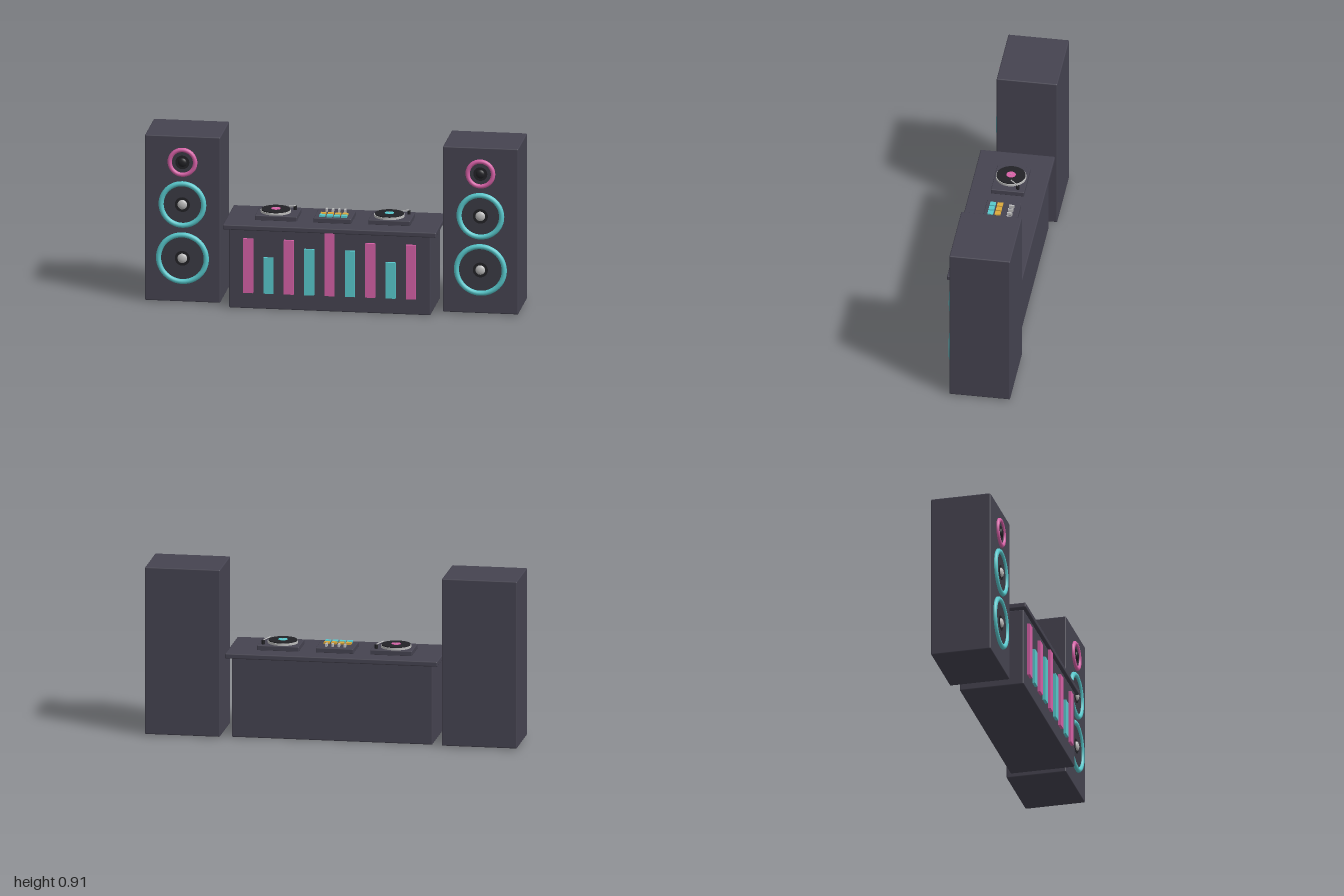
import * as THREE from 'three';
import { RoundedBoxGeometry } from 'three/addons/geometries/RoundedBoxGeometry.js';

const mat = (name, color) => {
  const m = new THREE.MeshStandardMaterial({ color });
  m.name = name;
  return m;
};

export function createModel() {
  const body = mat('charcoal', 0x454350);
  const cone = mat('cone grey', 0x3b3a44);
  const black = mat('black', 0x222226);
  const pink = mat('pink', 0xd660a6);
  const cyan = mat('cyan', 0x58c9cd);
  const amber = mat('amber', 0xdba93c);
  const silver = mat('silver', 0xbcbcbc);

  const model = new THREE.Group();
  model.name = 'djBooth';

  const add = (parent, name, geo, material, x, y, z) => {
    const mesh = new THREE.Mesh(geo, material);
    mesh.name = name;
    mesh.position.set(x, y, z);
    parent.add(mesh);
    return mesh;
  };
  // Softly rounded box given by its limits
  const block = (parent, name, material, x0, x1, y0, y1, z0, z1, r = 0.006) =>
    add(parent, name, new RoundedBoxGeometry(x1 - x0, y1 - y0, z1 - z0, 2, r), material,
      (x0 + x1) / 2, (y0 + y1) / 2, (z0 + z1) / 2);
  const disc = (r, h) => new THREE.CylinderGeometry(r, r, h, 40);

  // Round speaker driver: glowing ring, cone and centre dome
  function driver(parent, name, y, outer, tube, ringMat, hub, domeMat) {
    const g = new THREE.Group();
    g.name = name;
    g.position.set(0, y, 0.123);
    add(g, 'ring', new THREE.TorusGeometry(outer - tube, tube, 12, 48), ringMat, 0, 0, 0.003);
    add(g, 'cone', disc(outer - tube, 0.006), cone, 0, 0, 0.001).rotation.x = Math.PI / 2;
    add(g, 'dustRing', disc(hub * 1.55, 0.006), black, 0, 0, 0.003).rotation.x = Math.PI / 2;
    const dome = add(g, 'dome',
      new THREE.SphereGeometry(hub, 24, 10, 0, Math.PI * 2, 0, Math.PI / 2), domeMat, 0, 0, 0.006);
    dome.rotation.x = Math.PI / 2;
    dome.scale.y = 0.5;
    parent.add(g);
  }

  // Speaker towers
  for (const s of [-1, 1]) {
    const tower = new THREE.Group();
    tower.name = s < 0 ? 'rightSpeaker' : 'leftSpeaker';
    tower.position.x = s * 0.798;
    block(tower, 'cabinet', body, -0.202, 0.202, 0.006, 0.915, -0.203, 0.123);
    driver(tower, 'woofer', 0.245, 0.142, 0.014, cyan, 0.026, silver);
    driver(tower, 'midDriver', 0.54, 0.128, 0.014, cyan, 0.026, silver);
    driver(tower, 'tweeter', 0.772, 0.08, 0.012, pink, 0.024, black);
    model.add(tower);
  }

  // Desk
  block(model, 'desk', body, -0.54, 0.54, 0, 0.435, -0.165, 0.185);
  block(model, 'tableTop', body, -0.571, 0.571, 0.432, 0.46, -0.195, 0.204);

  // Equaliser bars on the desk front
  const tops = [0.385, 0.285, 0.385, 0.34, 0.43, 0.34, 0.385, 0.285, 0.385];
  tops.forEach((top, i) => {
    const h = top - 0.088;
    add(model, 'equaliserBar', new THREE.BoxGeometry(0.053, h, 0.018),
      i % 2 ? cyan : pink, (i - 4) * 0.109, 0.088 + h / 2, 0.191);
  });

  // Turntables with platter, record and tonearm
  for (const s of [-1, 1]) {
    const deck = new THREE.Group();
    deck.name = 'turntable';
    deck.position.set(s * 0.304, 0.458, 0);
    block(deck, 'deckBase', body, -0.112, 0.112, 0, 0.028, -0.089, 0.089, 0.004);
    add(deck, 'platter', disc(0.081, 0.012), silver, -0.012, 0.034, 0);
    add(deck, 'record', disc(0.077, 0.006), black, -0.012, 0.042, 0);
    add(deck, 'label', disc(0.025, 0.003), s < 0 ? pink : cyan, -0.012, 0.046, 0);
    add(deck, 'spindle', disc(0.003, 0.006), silver, -0.012, 0.049, 0);
    add(deck, 'armPivot', disc(0.009, 0.022), black, 0.085, 0.038, -0.052);
    const path = new THREE.LineCurve3(
      new THREE.Vector3(0.085, 0.05, -0.052), new THREE.Vector3(0.054, 0.059, -0.01));
    add(deck, 'tonearm', new THREE.TubeGeometry(path, 1, 0.003, 8), silver, 0, 0, 0);
    model.add(deck);
  }

  // Mixer with faders and two rows of pads
  const mixer = new THREE.Group();
  mixer.name = 'mixer';
  mixer.position.y = 0.458;
  block(mixer, 'mixerBase', body, -0.101, 0.101, 0, 0.028, -0.089, 0.094, 0.004);
  for (let i = 0; i < 4; i++) {
    const x = (i - 1.5) * 0.039;
    add(mixer, 'amberPad', new THREE.BoxGeometry(0.03, 0.012, 0.03), amber, x, 0.032, 0.018);
    add(mixer, 'cyanPad', new THREE.BoxGeometry(0.03, 0.012, 0.03), cyan, x, 0.032, 0.057);
    add(mixer, 'fader', new THREE.BoxGeometry(0.01, 0.018, 0.028), silver, x * 0.85, 0.035, -0.045);
  }
  model.add(mixer);

  return model;
}
